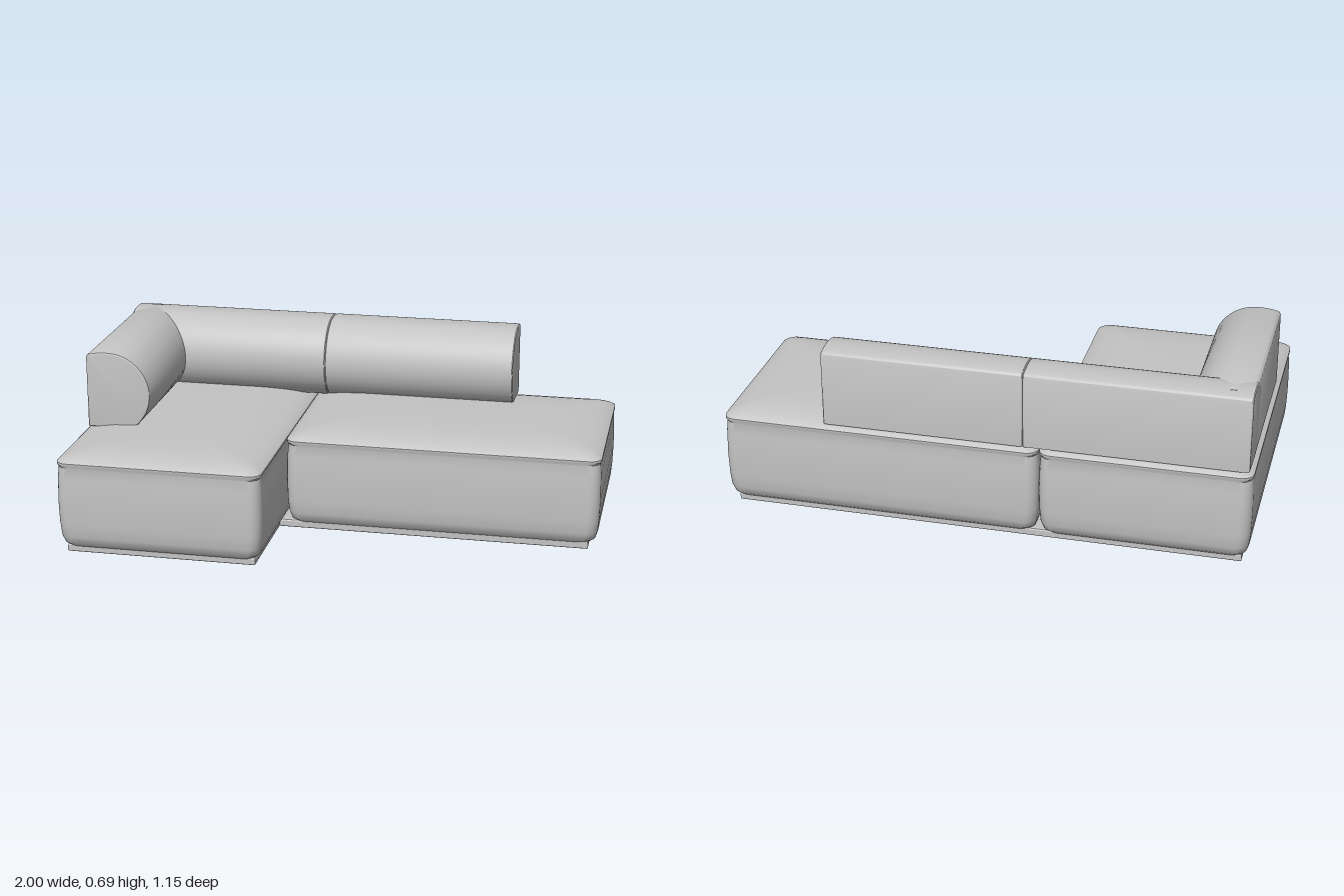
import * as THREE from 'three';
import { toCreasedNormals } from 'three/addons/utils/BufferGeometryUtils.js';

const fabric = new THREE.MeshStandardMaterial({ color: 0xc4c4c4 });
fabric.name = 'greyFabric';

// Cushion sides and crowned top as [inset, height] rings
const cushionProfile = [
  [0.06, 0.018], [0.03, 0.026], [0.015, 0.04], [0.006, 0.07], [0.002, 0.12], [0, 0.2],
  [0.002, 0.3], [0.006, 0.345], [0.001, 0.355], [0.001, 0.364], [0.008, 0.37],
  [0.035, 0.382], [0.07, 0.391], [0.12, 0.398], [0.2, 0.403], [0.3, 0.405],
];

function cushion(name, x0, x1, z0, z1) {
  const cx = (x0 + x1) / 2, cz = (z0 + z1) / 2;
  const steps = 6, n = 4 * (steps + 1), radius = 0.045;
  const pos = [], index = [];
  for (const [inset, y] of cushionProfile) {
    const hx = (x1 - x0) / 2 - inset, hz = (z1 - z0) / 2 - inset;
    for (let c = 0; c < 4; c++) {
      const sx = c === 0 || c === 3 ? 1 : -1, sz = c < 2 ? 1 : -1;
      for (let i = 0; i <= steps; i++) {
        const a = (c + i / steps) * Math.PI / 2;
        pos.push(cx + sx * (hx - radius) + radius * Math.cos(a), y,
          cz + sz * (hz - radius) + radius * Math.sin(a));
      }
    }
  }
  const rings = cushionProfile.length;
  for (let r = 0; r < rings - 1; r++) {
    for (let i = 0; i < n; i++) {
      const a = r * n + i, b = r * n + (i + 1) % n;
      index.push(a, a + n, b, b, a + n, b + n);
    }
  }
  // Close the underside and the top
  const bottom = rings * n, top = bottom + 1, last = (rings - 1) * n;
  pos.push(cx, cushionProfile[0][1], cz, cx, cushionProfile[rings - 1][1], cz);
  for (let i = 0; i < n; i++) {
    const j = (i + 1) % n;
    index.push(bottom, i, j, top, last + j, last + i);
  }
  const geo = new THREE.BufferGeometry();
  geo.setAttribute('position', new THREE.Float32BufferAttribute(pos, 3));
  geo.setIndex(index);
  return part(name, toCreasedNormals(geo, 0.6));
}

function part(name, geo) {
  const mesh = new THREE.Mesh(geo, fabric);
  mesh.name = name;
  return mesh;
}

// Bolster with a flat back and a rounded front, extruded along z
function bolsterGeometry(length) {
  const s = new THREE.Shape();
  s.moveTo(0, 0.385);
  s.lineTo(0, 0.66);
  s.quadraticCurveTo(0, 0.676, 0.016, 0.679);
  s.quadraticCurveTo(0.045, 0.686, 0.085, 0.686);
  s.bezierCurveTo(0.185, 0.686, 0.25, 0.605, 0.25, 0.525);
  s.bezierCurveTo(0.25, 0.465, 0.22, 0.42, 0.18, 0.385);
  s.closePath();
  const bevel = 0.007;
  const geo = new THREE.ExtrudeGeometry(s, {
    depth: length - 2 * bevel, bevelEnabled: true, bevelThickness: bevel,
    bevelSize: bevel, bevelOffset: -bevel, bevelSegments: 3, curveSegments: 16,
  });
  geo.translate(0, 0, bevel);
  return toCreasedNormals(geo, 0.5);
}

function backBolster(name, x0, x1) {
  const geo = bolsterGeometry(x1 - x0);
  geo.rotateY(-Math.PI / 2);
  geo.translate(x1, 0, -0.565);
  return part(name, geo);
}

export function createModel() {
  const group = new THREE.Group();
  group.name = 'cornerSofa';

  // Seats
  group.add(cushion('chaiseSeat', -1, -0.212, -0.573, 0.573));
  group.add(cushion('longSeat', -0.212, 1, -0.573, 0.163));

  // Recessed L-shaped plinth
  const outline = [[-0.96, 0.53], [-0.96, -0.53], [0.95, -0.53],
    [0.95, 0.125], [-0.25, 0.125], [-0.25, 0.53]];
  const shape = new THREE.Shape(outline.map(([x, z]) => new THREE.Vector2(x, -z)));
  const plinth = new THREE.ExtrudeGeometry(shape, {
    depth: 0.02, bevelEnabled: true, bevelThickness: 0.006, bevelSize: 0.01, bevelSegments: 2,
  });
  plinth.rotateX(-Math.PI / 2);
  plinth.translate(0, 0.006, 0);
  group.add(part('plinth', plinth));

  // Back and arm bolsters
  group.add(backBolster('backBolsterCorner', -0.985, -0.156));
  group.add(backBolster('backBolsterLong', -0.156, 0.603));
  const arm = bolsterGeometry(0.72);
  arm.translate(-0.985, 0, -0.522);
  group.add(part('armBolster', arm));

  return group;
}
